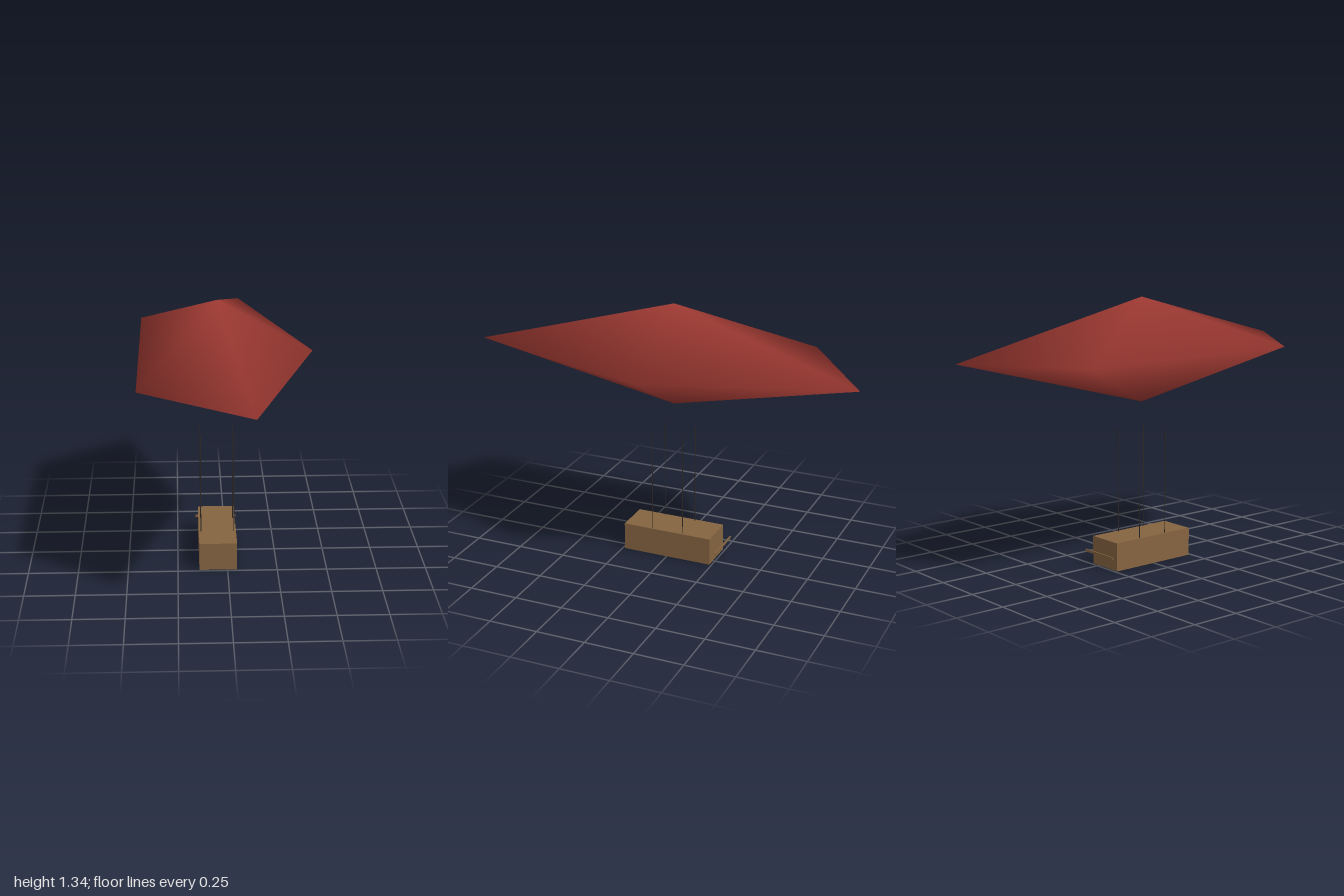
import * as THREE from 'three';

export function createModel() {
  const model = new THREE.Group();
  const red = new THREE.MeshStandardMaterial({ color: 0xa03a33 });
  red.name = 'redFabric';
  const wood = new THREE.MeshStandardMaterial({ color: 0x856440 });
  wood.name = 'brownWood';
  const dark = new THREE.MeshStandardMaterial({ color: 0x2e2a26 });
  dark.name = 'darkRope';

  const cx = -0.047; // shared centre line of envelope and basket

  const add = (name, geometry, material, x, y, z) => {
    const mesh = new THREE.Mesh(geometry, material);
    mesh.name = name;
    mesh.position.set(x, y, z);
    model.add(mesh);
  };

  // Envelope: five-sided double pyramid with smooth normals, one corner towards +x
  const envelope = new THREE.SphereGeometry(1, 5, 2);
  envelope.rotateY(Math.PI);
  envelope.scale(0.475, 0.262, 1.05);
  add('envelope', envelope, red, cx, 1.077, 0);

  // Basket
  add('basket', new THREE.BoxGeometry(0.19, 0.143, 0.476), wood, cx, 0.0715, 0);

  // Four ropes rising from the basket
  const rope = new THREE.CylinderGeometry(0.0024, 0.0024, 0.53, 6);
  for (const sx of [-1, 1]) {
    for (const sz of [-1, 1]) {
      add('rope', rope, dark, cx + sx * 0.084, 0.406, sz * 0.083);
    }
  }

  // Propeller blade floating behind the basket
  add('propeller', new THREE.BoxGeometry(0.214, 0.013, 0.005), wood, cx, 0.0735, -0.274);

  return model;
}
